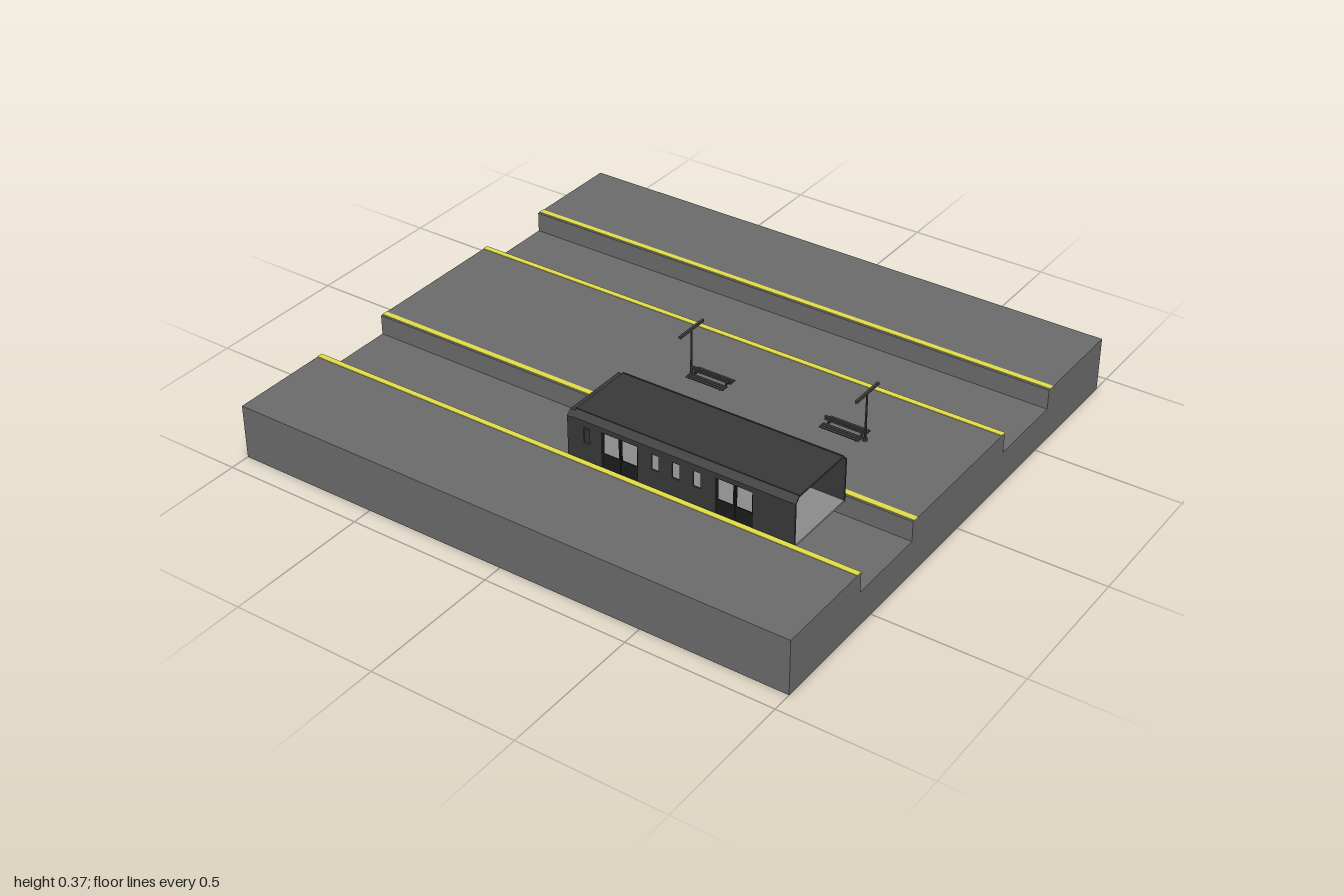
import * as THREE from 'three';

const mat = (color) => new THREE.MeshStandardMaterial({ color, flatShading: true, side: THREE.DoubleSide });
const concrete = mat(0x6a6a6a), yellow = mat(0xe0dc48), body = mat(0x383838), dark = mat(0x1c1c1c), metal = mat(0x404040), floorGrey = mat(0x8a8a8a);

function add(parent, name, geometry, material) {
  const mesh = new THREE.Mesh(geometry, material);
  mesh.name = name;
  parent.add(mesh);
  return mesh;
}

// Box given by its minimum and maximum on each axis
function box(parent, name, [x0, x1], [y0, y1], [z0, z1], material) {
  const g = new THREE.BoxGeometry(x1 - x0, y1 - y0, z1 - z0);
  g.translate((x0 + x1) / 2, (y0 + y1) / 2, (z0 + z1) / 2);
  return add(parent, name, g, material);
}

const rect = (x0, x1, y0, y1) => [[x0, y0], [x1, y0], [x1, y1], [x0, y1]];

function panel(points, holes, depth) {
  const toVec = (p) => p.map(([a, b]) => new THREE.Vector2(a, b));
  const shape = new THREE.Shape(toVec(points));
  for (const h of holes) shape.holes.push(new THREE.Path(toVec(h)));
  return new THREE.ExtrudeGeometry(shape, { depth, bevelEnabled: false });
}

// Section of [z, y] points swept along x
function sweepX(points, holes, x0, x1) {
  const flip = (p) => p.map(([z, y]) => [-z, y]);
  return panel(flip(points), holes.map(flip), x1 - x0).rotateY(Math.PI / 2).translate(x0, 0, 0);
}

function createPlatform() {
  const g = new THREE.Group();
  g.name = 'platform';
  const top = 0.19, bed = 0.12;
  // Slab with two track trenches
  add(g, 'slab', sweepX([
    [-0.93, 0], [0.93, 0], [0.93, top], [0.565, top], [0.565, bed], [0.278, bed], [0.278, top],
    [-0.273, top], [-0.273, bed], [-0.562, bed], [-0.562, top], [-0.93, top],
  ], [], -1, 1), concrete);
  // Safety lines along the platform edges
  for (const z of [-0.58, -0.265, 0.261, 0.576])
    box(g, 'safetyLine', [-1, 1], [top - 0.001, top + 0.002], [z - 0.01, z + 0.01], yellow);
  return g;
}

function createCarriage() {
  const g = new THREE.Group();
  g.name = 'carriage';
  const half = 0.138, x0 = -0.005, x1 = 0.775, bottom = 0.175, eave = 0.325, t = 0.006;
  const doors = [[0.1, 0.23], [0.505, 0.632]];
  const windows = [[0.035, 0.057], [0.28, 0.305], [0.353, 0.379], [0.427, 0.453]];

  // Mirrored side walls with windows and double doors
  const holes = [
    ...windows.map(([a, b]) => rect(a, b, 0.248, 0.302)),
    ...doors.map(([a, b]) => rect(a, b, 0.182, 0.308)),
  ];
  for (const s of [-1, 1]) {
    const side = new THREE.Group();
    side.name = 'sideWall';
    add(side, 'wall', panel(rect(x0, x1, bottom, eave), holes, t), body).position.z = s > 0 ? half - t : -half;
    for (const [a, b] of doors) {
      const mid = (a + b) / 2;
      for (const [l, r] of [[a, mid - 0.001], [mid + 0.001, b]]) {
        const leaf = panel(rect(l, r, 0.182, 0.308), [rect(l + 0.005, r - 0.005, 0.232, 0.303)], 0.003);
        add(side, 'doorLeaf', leaf, dark).position.z = s * (half - 0.007) - 0.0015;
      }
    }
    g.add(side);
  }

  // Chamfered roof shell
  add(g, 'roof', sweepX([
    [-half, eave], [-half + 0.018, 0.344], [half - 0.018, 0.344], [half, eave],
    [half - t, eave], [half - 0.021, 0.338], [-half + 0.021, 0.338], [-half + t, eave],
  ], [], x0, x1), body);
  for (const s of [-1, 1])
    box(g, 'roofRib', [x0, x1], [0.343, 0.346], [s * 0.117 - 0.002, s * 0.117 + 0.002], body);
  box(g, 'floor', [x0, x1], [0.174, 0.18], [-half + t, half - t], floorGrey);

  // End wall with two windows and a central door
  const end = [[-half, bottom], [half, bottom], [half, 0.322], [half - 0.016, 0.337], [-half + 0.016, 0.337], [-half, 0.322]];
  add(g, 'endWall', sweepX(end, [
    rect(-0.07, -0.044, 0.236, 0.286), rect(0.044, 0.07, 0.236, 0.286), rect(-0.019, 0.019, 0.184, 0.3),
  ], -0.025, x0), body);
  add(g, 'endDoor', sweepX(rect(-0.019, 0.019, 0.184, 0.3), [rect(-0.013, 0.013, 0.236, 0.286)], -0.016, -0.011), dark);
  box(g, 'destinationPanel', [-0.027, -0.024], [0.309, 0.32], [-0.02, 0.02], dark);

  g.position.z = 0.42;
  return g;
}

// Back-to-back slatted bench; its x range starts at 0
function createBench() {
  const g = new THREE.Group();
  g.name = 'bench';
  const len = 0.14;
  for (const s of [-1, 1])
    for (const z of [0.012, 0.022, 0.032])
      box(g, 'seatSlat', [0, len], [0.203, 0.206], [s * z - 0.004, s * z + 0.004], metal);
  for (const y of [0.212, 0.221])
    box(g, 'backSlat', [0, len], [y, y + 0.006], [-0.003, 0.003], metal);
  for (const x of [0.012, len - 0.012]) {
    box(g, 'support', [x - 0.002, x + 0.002], [0.19, 0.227], [-0.002, 0.002], metal);
    box(g, 'seatBracket', [x - 0.002, x + 0.002], [0.2, 0.203], [-0.034, 0.034], metal);
  }
  return g;
}

function createLamp() {
  const g = new THREE.Group();
  g.name = 'lamp';
  const post = add(g, 'post', new THREE.CylinderGeometry(0.003, 0.004, 0.17, 8), metal);
  post.position.y = 0.275;
  const base = add(g, 'base', new THREE.CylinderGeometry(0.006, 0.008, 0.012, 8), metal);
  base.position.y = 0.196;
  box(g, 'lampBar', [-0.004, 0.004], [0.357, 0.366], [-0.064, 0.064], metal);
  return g;
}

export function createModel() {
  const model = new THREE.Group();
  model.name = 'trainStation';
  model.add(createPlatform(), createCarriage());
  for (const [benchX, lampX] of [[0.04, 0.038], [0.53, 0.672]]) {
    const bench = createBench(), lamp = createLamp();
    bench.position.x = benchX;
    lamp.position.x = lampX;
    model.add(bench, lamp);
  }
  return model;
}
